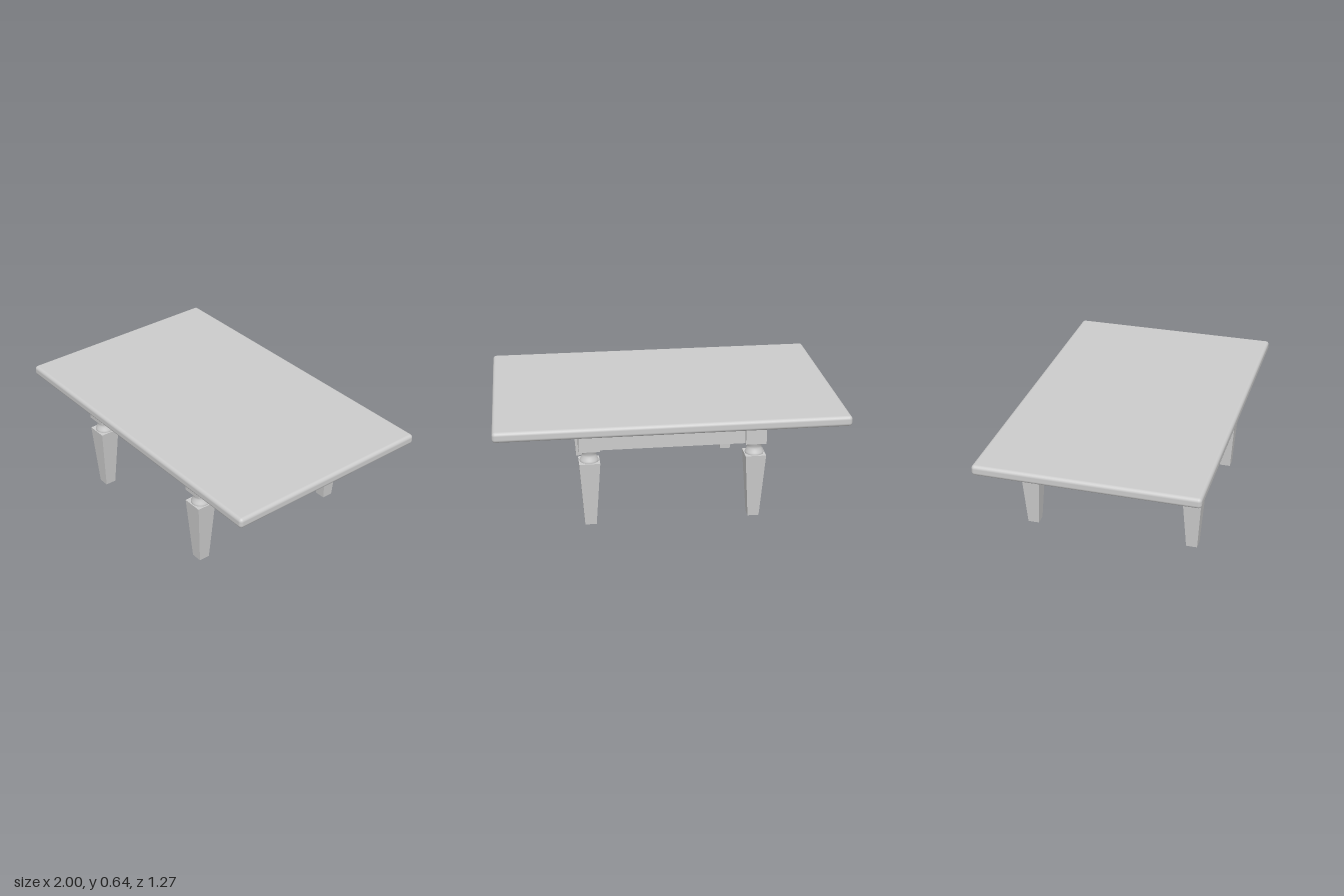
import * as THREE from 'three';
import { RoundedBoxGeometry } from 'three/addons/geometries/RoundedBoxGeometry.js';

const material = new THREE.MeshStandardMaterial({ color: 0xcccccc });

const LEG_X = 0.472, LEG_Z = 0.481; // leg centres
const LEG = 0.118;                  // post width
const Y_NECK = 0.39, Y_POST = 0.463, Y_TOP = 0.585, Y_MAX = 0.645;

function add(parent, name, geometry, x = 0, y = 0, z = 0) {
  const mesh = new THREE.Mesh(geometry, material);
  mesh.name = name;
  mesh.position.set(x, y, z);
  parent.add(mesh);
  return mesh;
}

// Square shaft narrowing towards the floor
function taperedShaft(topWidth, footWidth, height) {
  const g = new THREE.BoxGeometry(topWidth, height, topWidth);
  const p = g.attributes.position;
  for (let i = 0; i < p.count; i++) {
    if (p.getY(i) < 0) {
      p.setX(i, p.getX(i) * footWidth / topWidth);
      p.setZ(i, p.getZ(i) * footWidth / topWidth);
    }
  }
  g.computeVertexNormals();
  return g;
}

// Turned cove between shaft and post
function turnedNeck() {
  const curve = new THREE.SplineCurve([
    [0.053, 0.393], [0.052, 0.4], [0.044, 0.418], [0.04, 0.432], [0.043, 0.447], [0.049, Y_POST],
  ].map(([r, y]) => new THREE.Vector2(r, y)));
  const profile = [new THREE.Vector2(0.053, Y_NECK - 0.002), ...curve.getPoints(16)];
  return new THREE.LatheGeometry(profile, 32);
}

export function createModel() {
  const table = new THREE.Group();
  table.name = 'table';

  // Top with softened edges
  add(table, 'tabletop', new RoundedBoxGeometry(2, Y_MAX - Y_TOP, 1.27, 4, 0.02), 0, (Y_MAX + Y_TOP) / 2, 0);

  const base = new THREE.Group();
  base.name = 'base';
  base.position.set(-0.003, 0, 0.002);
  table.add(base);

  // Four legs: post, turned neck, tapered shaft
  const postHeight = Y_TOP - Y_POST;
  const postY = (Y_TOP + Y_POST) / 2;
  const postGeometry = new THREE.BoxGeometry(LEG, postHeight, LEG);
  const neckGeometry = turnedNeck();
  const shaftGeometry = taperedShaft(LEG, 0.065, Y_NECK);
  for (const sx of [-1, 1]) {
    for (const sz of [-1, 1]) {
      const leg = new THREE.Group();
      leg.name = `${sz > 0 ? 'front' : 'back'}${sx > 0 ? 'Left' : 'Right'}Leg`;
      leg.position.set(sx * LEG_X, 0, sz * LEG_Z);
      add(leg, 'post', postGeometry, 0, postY, 0);
      add(leg, 'neck', neckGeometry);
      add(leg, 'shaft', shaftGeometry, 0, Y_NECK / 2, 0);
      base.add(leg);
    }
  }

  // Apron rails, set slightly outward of the leg centres
  const thickness = 0.036, offset = 0.018;
  const longRail = new THREE.BoxGeometry(2 * LEG_X - LEG, postHeight, thickness);
  const sideRail = new THREE.BoxGeometry(thickness, postHeight, 2 * LEG_Z - LEG);
  for (const s of [-1, 1]) {
    add(base, s > 0 ? 'frontApron' : 'backApron', longRail, 0, postY, s * (LEG_Z + offset));
    add(base, s > 0 ? 'leftApron' : 'rightApron', sideRail, s * (LEG_X + offset), postY, 0);
  }

  return table;
}
